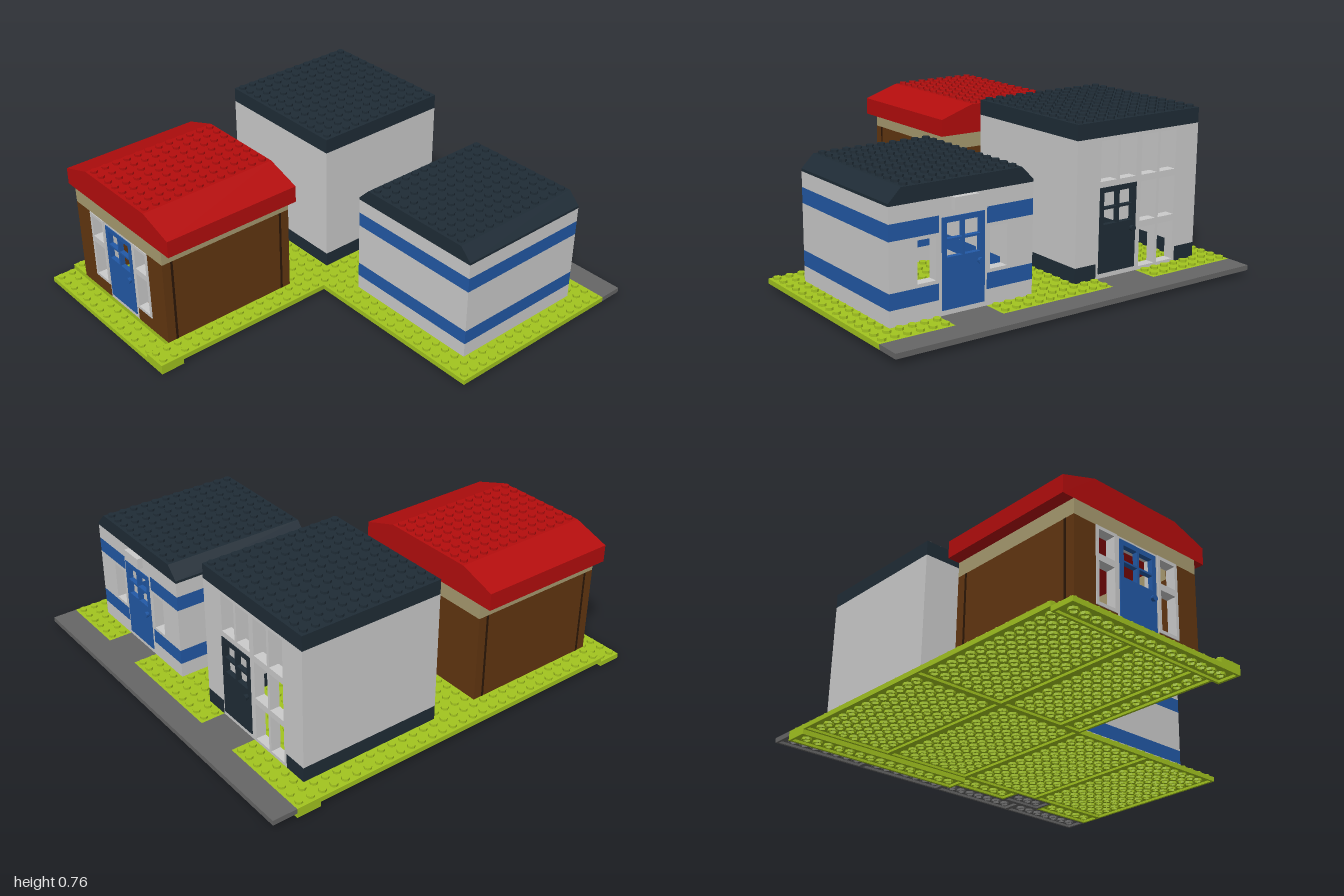
import * as THREE from 'three';
import { mergeGeometries } from 'three/addons/utils/BufferGeometryUtils.js';

// Everything is laid out in stud units (1 stud = 1/17), plate 0.4 and brick 1.2 high.
const COLORS = {
  lime: 0xa2c41f, road: 0x666666, grey: 0xcccccc, black: 0x1f2c36, blue: 0x2259a6,
  brown: 0x623610, darkBrown: 0x2c1706, tan: 0xa89b70, red: 0xb40d0d,
};
const materials = {};
for (const key in COLORS) {
  materials[key] = new THREE.MeshStandardMaterial({ color: COLORS[key], flatShading: true });
}

function mesh(name, geometry, color) {
  const m = new THREE.Mesh(geometry, materials[color]);
  m.name = name;
  return m;
}

function block(x0, x1, y0, y1, z0, z1) {
  return new THREE.BoxGeometry(x1 - x0, y1 - y0, z1 - z0)
    .translate((x0 + x1) / 2, (y0 + y1) / 2, (z0 + z1) / 2);
}

// Rows of studs covering a rectangle at height y
function studs(x0, x1, z0, z1, y) {
  const list = [];
  for (let x = x0 + 0.5; x < x1; x++) {
    for (let z = z0 + 0.5; z < z1; z++) {
      list.push(new THREE.CylinderGeometry(0.3, 0.3, 0.2, 8).translate(x, y + 0.1, z));
    }
  }
  return mergeGeometries(list);
}

// Hollow plate: thin top, rim walls and tubes below
function plate(name, color, x0, x1, z0, z1, y, studX1 = x1) {
  const g = new THREE.Group();
  g.name = name;
  const t = 0.2;
  const parts = [
    block(x0, x1, y + 0.2, y + 0.4, z0, z1),
    block(x0, x1, y, y + 0.2, z0, z0 + t), block(x0, x1, y, y + 0.2, z1 - t, z1),
    block(x0, x0 + t, y, y + 0.2, z0 + t, z1 - t), block(x1 - t, x1, y, y + 0.2, z0 + t, z1 - t),
  ];
  for (let x = x0 + 1; x < x1; x++) {
    for (let z = z0 + 1; z < z1; z++) {
      const ring = [[0.3, 0.2], [0.3, 0], [0.4, 0], [0.4, 0.2]].map(p => new THREE.Vector2(...p));
      parts.push(new THREE.LatheGeometry(ring.reverse(), 8).scale(1, 1, 1).translate(x, y, z));
    }
  }
  const body = mesh(name + 'Body', mergeGeometries(parts), color);
  body.material = body.material.clone();
  body.material.side = THREE.DoubleSide;
  g.add(body);
  if (studX1 > x0) g.add(mesh(name + 'Studs', studs(x0, studX1, z0, z1, y + 0.4), color));
  return g;
}

// Panel in the xy plane with rectangular holes [x0, x1, y0, y1]; its front is at z = 0
function panel(x0, x1, y0, y1, holes, depth) {
  const path = (P, a, b, c, d) => new P([[a, c], [b, c], [b, d], [a, d]].map(p => new THREE.Vector2(...p)));
  const shape = path(THREE.Shape, x0, x1, y0, y1);
  for (const h of holes) shape.holes.push(path(THREE.Path, ...h));
  return new THREE.ExtrudeGeometry(shape, { depth, bevelEnabled: false }).translate(0, 0, -depth);
}

// Framed opening, optionally split in two by a mullion
function windowFrame(w, h, split) {
  const a = w / 2, b = 0.26;
  const holes = split
    ? [[-a + b, -0.13, b, h - b], [0.13, a - b, b, h - b]]
    : [[-a + b, a - b, b, h - b]];
  return mesh('windowFrame', panel(-a, a, 0, h, holes, 0.8), 'grey');
}

// Frame, four-pane leaf and round knob
function door(color) {
  const g = new THREE.Group();
  g.name = 'door';
  g.add(mesh('doorFrame', panel(-2, 2, 0, 7.2, [[-1.76, 1.76, 0.4, 6.95]], 1), 'grey'));
  const panes = [];
  for (const x of [-1.4, 0.1]) for (const y of [4.15, 5.45]) panes.push([x, x + 1.3, y, y + 1.15]);
  g.add(mesh('doorLeaf', panel(-1.78, 1.78, 0.38, 7, panes, 0.4).translate(0, 0, 0.07), color));
  const knob = mesh('doorKnob', new THREE.CylinderGeometry(0.25, 0.2, 0.3, 10).rotateX(Math.PI / 2), color);
  knob.position.set(1.35, 3.5, 0.2);
  g.add(knob);
  return g;
}

// Set a part into a wall facing +z (dir 1) or -z (dir -1)
function place(part, x, y, z, dir) {
  part.position.set(x, y, z);
  if (dir < 0) part.rotation.y = Math.PI;
  return part;
}

// Four walls in layers [y0, y1, color, gapX0, gapX1]; the gap is in the wall facing dir
function walls(x0, x1, z0, z1, dir, layers) {
  const g = new THREE.Group();
  g.name = 'walls';
  for (const [y0, y1, color, a, b] of layers) {
    const [f0, f1] = dir > 0 ? [z1 - 1, z1] : [z0, z0 + 1];
    const [r0, r1] = dir > 0 ? [z0, z0 + 1] : [z1 - 1, z1];
    const parts = [
      block(x0, x0 + 1, y0, y1, z0 + 1, z1 - 1), block(x1 - 1, x1, y0, y1, z0 + 1, z1 - 1),
      block(x0, x1, y0, y1, r0, r1),
    ];
    if (a === undefined) parts.push(block(x0, x1, y0, y1, f0, f1));
    else parts.push(block(x0, a, y0, y1, f0, f1), block(b, x1, y0, y1, f0, f1));
    g.add(mesh('wallLayer', mergeGeometries(parts), color));
  }
  return g;
}

// Roof of a constant outline along z
function profileRoof(points, z0, z1, color) {
  const shape = new THREE.Shape(points.map(p => new THREE.Vector2(...p)));
  const geo = new THREE.ExtrudeGeometry(shape, { depth: z1 - z0, bevelEnabled: false });
  return mesh('roof', geo.translate(0, 0, z0), color);
}

function namedGroup(name, ...children) {
  const g = new THREE.Group();
  g.name = name;
  g.add(...children);
  return g;
}

export function createModel() {
  const layout = new THREE.Group();
  layout.name = 'layout';

  // Grass plates, notched at the two back doors
  const grass = namedGroup('grass');
  const grassPlates = [
    [-16, -8, -13, 1], [-8, 0, -13, 1], [0, 8, -13, 1], [8, 16, -13, 1],
    [-16, -8, 1, 15], [-8, -2, 1, 15], [-2, 0, 1, 17],
    [-16, -8, -15, -13], [-4, 0, -15, -13], [0, 6, -15, -13], [10, 16, -15, -13],
  ];
  for (const p of grassPlates) grass.add(plate('grassPlate', 'lime', ...p, 0.4));
  grass.add(plate('frontStep', 'lime', -16, 0, 15, 17, 0, -2));
  grass.add(plate('backSupport', 'lime', -16, 0, -15, -13, 0, -16));

  // Pavement along the back with a path to each door
  const pavement = namedGroup('pavement');
  for (let x = -16; x < 16; x += 8) pavement.add(plate('pavementTile', 'road', x, x + 8, -17, -15, 0.4, x));
  for (const x of [-8, 6]) pavement.add(plate('doorPath', 'road', x, x + 4, -15, -13, 0.4, x));

  // Brown house with the red roof, facing the front
  const house = namedGroup('brownHouse',
    walls(-14, -2, 3, 15, 1, [[0.8, 2, 'brown', -10, -6], [2, 8, 'brown', -12, -4], [8, 9.2, 'tan']]),
    place(door('blue'), -8, 0.8, 15, 1),
    profileRoof([[-15, 9.2], [-1, 9.2], [-1, 10.6], [-4, 11.6], [-12, 11.6], [-15, 10.6]], 3, 15, 'red'),
    mesh('roofStuds', studs(-12, -4, 3, 15, 11.6), 'red'));
  for (const x of [-11, -5]) {
    house.add(place(windowFrame(2, 3.6), x, 2, 15.06, 1), place(windowFrame(2, 2.4), x, 5.6, 15.06, 1));
  }
  for (const x of [-14, -2]) {
    for (const z of [3.85, 14.15]) {
      house.add(mesh('wallGroove', block(x - 0.02, x + 0.02, 0.8, 8, z - 0.1, z + 0.1), 'darkBrown'));
    }
  }

  // Tall house with the glazed back
  const tall = namedGroup('tallHouse',
    walls(-14, -2, -13, -1, -1, [[0.8, 2, 'black', -12, -4], [2, 11.6, 'grey', -12, -4]]),
    place(door('black'), -6, 0.8, -13, -1),
    place(windowFrame(4, 3.6, true), -6, 8, -13, -1),
    mesh('roof', block(-14, -2, 11.6, 12.8, -13, -1), 'black'),
    mesh('roofStuds', studs(-14, -2, -13, -1, 12.8), 'black'));
  for (let i = 0; i < 3; i++) tall.add(place(windowFrame(4, 3.6, true), -10, 0.8 + 3.6 * i, -13, -1));

  // Low house with blue stripes
  const striped = namedGroup('stripedHouse',
    walls(2, 14, -13, -1, -1, [
      [0.8, 2, 'grey', 6, 10], [2, 3.2, 'blue', 6, 10], [3.2, 6.8, 'grey', 4, 12],
      [6.8, 8, 'blue', 6, 10], [8, 9.2, 'grey'],
    ]),
    place(door('blue'), 8, 0.8, -13, -1),
    place(windowFrame(2, 3.6), 5, 3.2, -13, -1),
    place(windowFrame(2, 3.6), 11, 3.2, -13, -1),
    mesh('doorSign', block(7, 9, 8.3, 9.2, -13.45, -13), 'grey'),
    profileRoof([[2, 9.2], [14, 9.2], [14, 9.4], [13, 10.4], [3, 10.4], [2, 9.4]], -13, -1, 'black'),
    mesh('roofStuds', studs(3, 13, -13, -1, 10.4), 'black'));

  layout.add(grass, pavement, house, tall, striped);
  layout.scale.setScalar(1 / 17);
  return namedGroup('threeHouses', layout);
}
